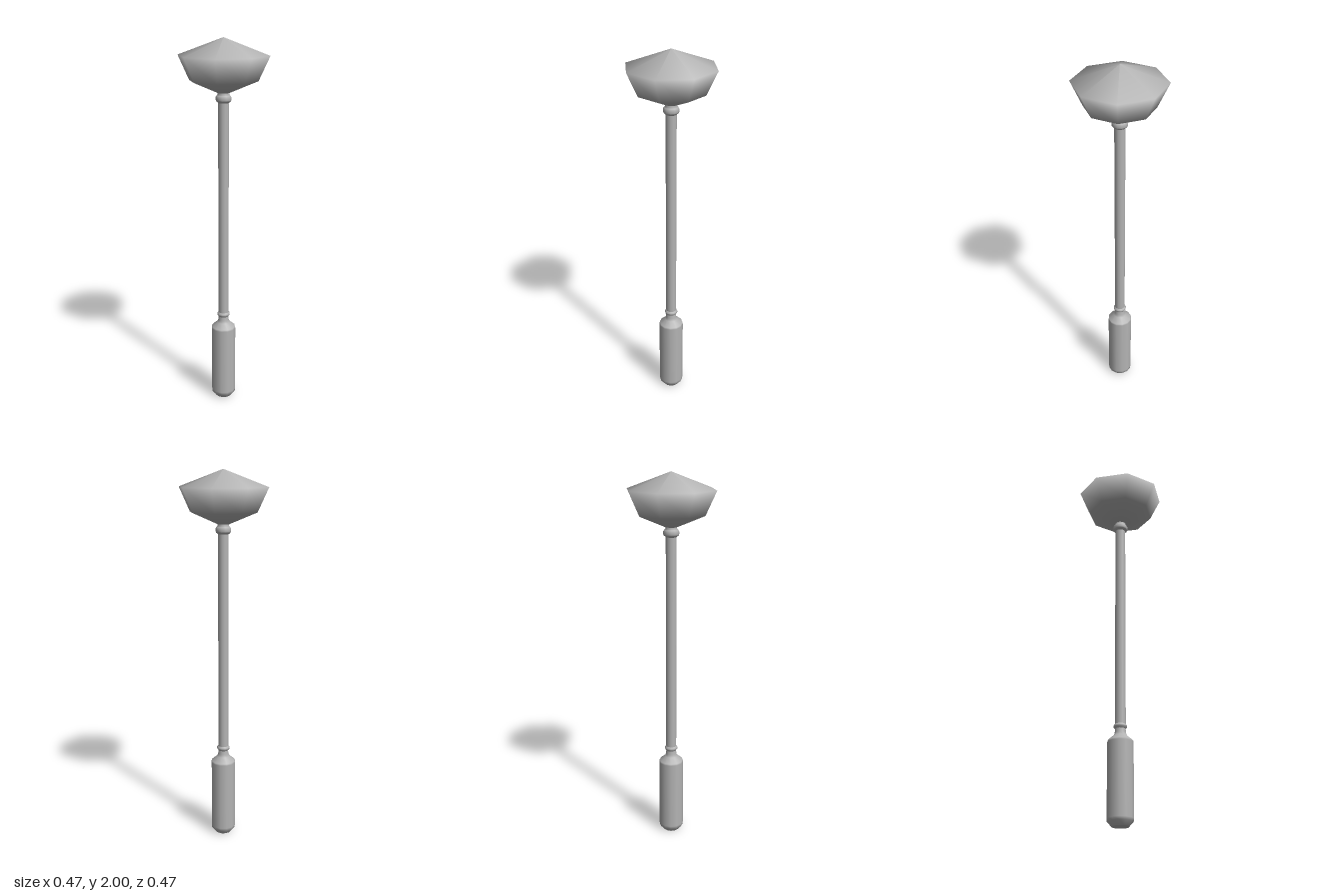
import * as THREE from 'three';

export function createModel() {
  const model = new THREE.Group();
  const grey = new THREE.MeshStandardMaterial({ color: 0xb4b4b4 });
  grey.name = 'grey metal';

  // Revolve a bottom-to-top [radius, y] profile around the upright axis
  const turned = (name, profile, sides) => {
    const points = profile.map(([r, y]) => new THREE.Vector2(r, y));
    const mesh = new THREE.Mesh(new THREE.LatheGeometry(points, sides), grey);
    mesh.name = name;
    model.add(mesh);
  };

  // Grip with bevelled foot and a shoulder narrowing to the neck
  turned('grip', [
    [0, 0], [0.045, 0], [0.045, 0.002], [0.066, 0.025], [0.067, 0.04],
    [0.067, 0.42], [0.065, 0.43], [0.035, 0.455], [0.029, 0.47], [0.027, 0.495],
  ], 12);

  // Small ring where the shaft leaves the grip
  turned('lowerCollar', [
    [0.027, 0.49], [0.035, 0.5], [0.035, 0.508], [0.028, 0.516],
  ], 12);

  // Long shaft
  turned('shaft', [[0.028, 0.49], [0.028, 1.69]], 12);

  // Ring and short neck under the head
  turned('upperCollar', [
    [0.028, 1.675], [0.038, 1.683], [0.041, 1.69], [0.041, 1.704],
    [0.036, 1.712], [0.03, 1.718], [0.031, 1.735],
  ], 12);

  // Eight-sided head with a low pointed top
  turned('head', [
    [0, 1.722], [0.03, 1.725], [0.178, 1.787], [0.236, 1.912], [0, 2],
  ], 8);

  return model;
}
